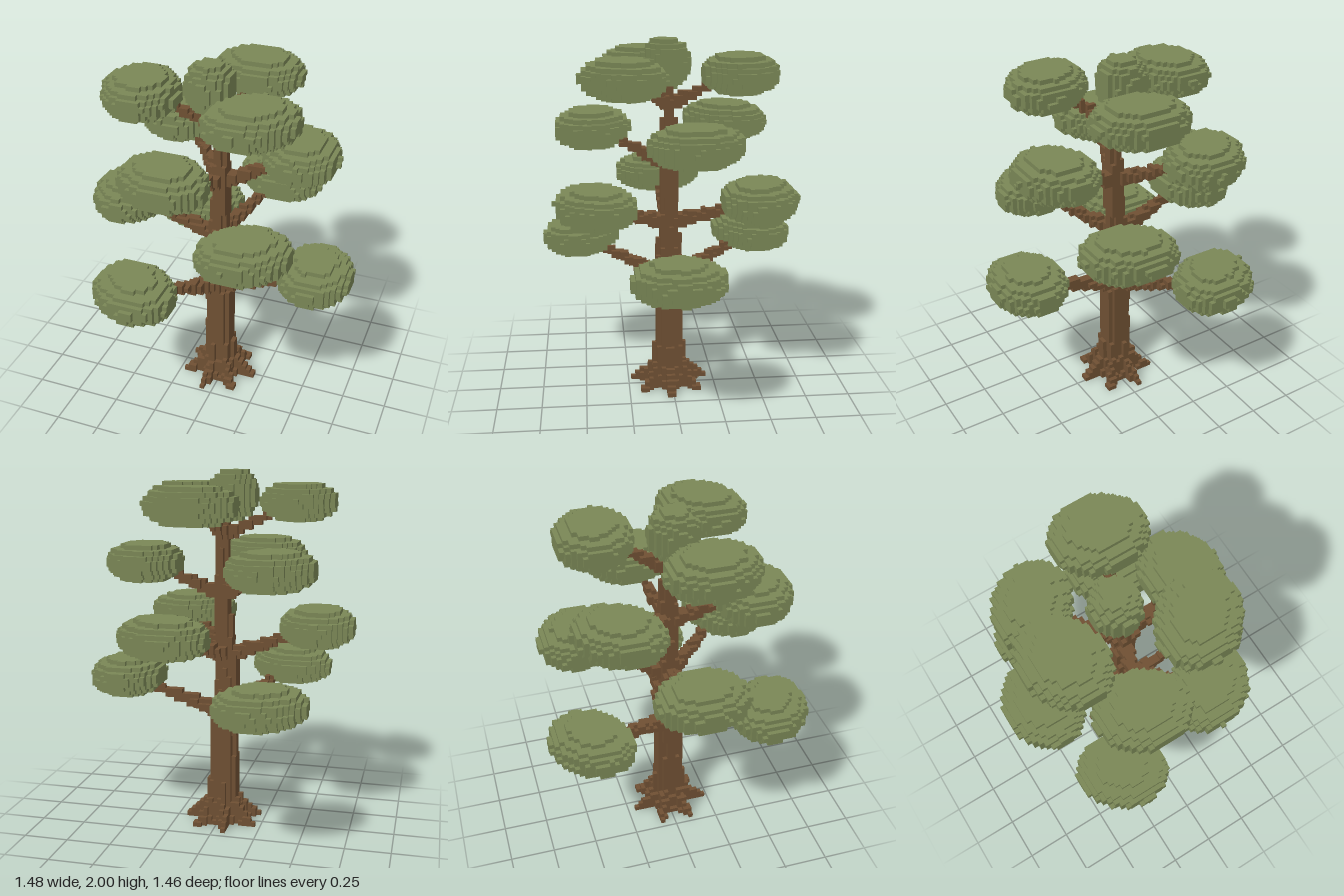
import * as THREE from 'three';

const S = 2 / 81; // block size
const bark = new THREE.MeshStandardMaterial({ color: 0x6f5033 });
bark.name = 'bark brown';
const leaf = new THREE.MeshStandardMaterial({ color: 0x7a8756 });
leaf.name = 'leaf green';

// Six cube faces: outward normal n, and edge axes u, v with u x v = n
const FACES = [0, 1, 2].flatMap((a) => [1, -1].map((s) => {
  const axis = (i, k) => [0, 1, 2].map((j) => (j === i % 3 ? k : 0));
  return s > 0
    ? { n: axis(a, 1), u: axis(a + 1, 1), v: axis(a + 2, 1) }
    : { n: axis(a, -1), u: axis(a + 2, 1), v: axis(a + 1, 1) };
}));

// Fill a box region with blocks wherever inside(x, y, z) holds; keep only outer faces
function blocks(name, material, min, max, inside) {
  const key = (c) => c.join();
  const cells = new Map();
  const lo = min.map((m) => Math.floor(m / S) - 1);
  const hi = max.map((m) => Math.ceil(m / S) + 1);
  for (let i = lo[0]; i <= hi[0]; i++)
    for (let j = Math.max(0, lo[1]); j <= Math.min(80, hi[1]); j++)
      for (let k = lo[2]; k <= hi[2]; k++)
        // the grid is shifted half a block in z
        if (inside((i + 0.5) * S, (j + 0.5) * S, k * S)) cells.set(key([i, j, k]), [i, j, k]);

  const position = [], normal = [], index = [];
  for (const c of cells.values()) {
    for (const { n, u, v } of FACES) {
      if (cells.has(key(c.map((q, a) => q + n[a])))) continue;
      const start = position.length / 3;
      for (const [p, q] of [[-1, -1], [1, -1], [1, 1], [-1, 1]]) {
        c.forEach((m, a) => position.push((m + (a < 2 ? 0.5 : 0) + (n[a] + u[a] * p + v[a] * q) / 2) * S));
        normal.push(...n);
      }
      index.push(start, start + 1, start + 2, start, start + 2, start + 3);
    }
  }
  const geometry = new THREE.BufferGeometry();
  geometry.setAttribute('position', new THREE.Float32BufferAttribute(position, 3));
  geometry.setAttribute('normal', new THREE.Float32BufferAttribute(normal, 3));
  geometry.setIndex(index);
  const mesh = new THREE.Mesh(geometry, material);
  mesh.name = name;
  return mesh;
}

// Trunk centre line and thickness: [y, x, radius]
const TRUNK = [[0, -0.02, 0.082], [0.5, -0.016, 0.078], [0.75, -0.04, 0.07], [0.98, -0.045, 0.058],
  [1.12, -0.018, 0.048], [1.4, -0.012, 0.046], [1.62, -0.02, 0.036], [1.85, -0.05, 0.025]];
const TRUNK_Z = 0.012;
function trunkAt(y) {
  const i = Math.max(1, TRUNK.findIndex((p) => p[0] >= y));
  const [a, b] = [TRUNK[i - 1], TRUNK[i]];
  const t = (y - a[0]) / (b[0] - a[0]);
  return { x: a[1] + (b[1] - a[1]) * t, r: a[2] + (b[2] - a[2]) * t };
}

// Tapered limb between two points
function limb(name, a, b, ra, rb) {
  const line = new THREE.Line3(a, b);
  const p = new THREE.Vector3(), q = new THREE.Vector3();
  const r = Math.max(ra, rb);
  const min = ['x', 'y', 'z'].map((k) => Math.min(a[k], b[k]) - r);
  const max = ['x', 'y', 'z'].map((k) => Math.max(a[k], b[k]) + r);
  return blocks(name, bark, min, max, (x, y, z) => {
    p.set(x, y, z);
    const t = line.closestPointToPointParameter(p, true);
    return line.at(t, q).distanceTo(p) < ra + (rb - ra) * t;
  });
}

// Flattened leaf pad, longer across its branch direction, with a slightly ragged rim
function leafPad(name, cx, cy, cz, radial, across, height) {
  const a = Math.atan2(cz, cx), c = Math.cos(a), s = Math.sin(a);
  return blocks(name, leaf, [cx - 0.3, cy - 0.2, cz - 0.3], [cx + 0.3, cy + 0.2, cz + 0.3], (x, y, z) => {
    const dx = x - cx, dz = z - cz;
    const flat = Math.hypot((dx * c + dz * s) / radial, (dz * c - dx * s) / across);
    const ragged = 0.04 * Math.sin(x * 61 + y * 47) * Math.sin(z * 53 + y * 71);
    return flat ** 2.3 + Math.abs((y - cy) / height) ** 2.3 < 1 + ragged;
  });
}

// Tiers of three: pad height, branch root height, pad centres [x, z]
const TIERS = [
  { y: 0.835, root: 0.64, pads: [[0.54, 0.01], [-0.33, 0.505], [-0.33, -0.505]] },
  { y: 1.16, root: 0.98, pads: [[-0.54, 0.04], [0.26, 0.425], [0.19, -0.46]] },
  { y: 1.505, root: 1.32, pads: [[0.4, -0.09], [-0.17, 0.43], [-0.35, -0.34]] },
  { y: 1.828, root: 1.65, pads: [[-0.41, 0.12], [0.24, 0.27], [0.07, -0.36]] },
];

export function createModel() {
  const tree = new THREE.Group();
  tree.name = 'tree';

  // Trunk with a star of roots flaring at the ground
  tree.add(blocks('trunk', bark, [-0.3, 0, -0.3], [0.3, 1.85, 0.3], (x, y, z) => {
    if (y > 1.84) return false;
    const t = trunkAt(y), dx = x - t.x, dz = z - TRUNK_Z;
    const flare = Math.max(0, 1 - y / 0.17) ** 1.3;
    const ridge = Math.max(0, Math.cos(7 * Math.atan2(dz, dx)));
    const buttress = y < 0.25 ? 0.012 * ridge : 0;
    return Math.hypot(dx, dz) < t.r + buttress + flare * (0.045 + 0.09 * ridge);
  }));

  // Branches and leaf pads
  TIERS.forEach(({ y, root, pads }, tier) => {
    pads.forEach(([x, z], i) => {
      const start = new THREE.Vector3(trunkAt(root).x, root, TRUNK_Z);
      const reach = 1 - 0.12 / Math.hypot(x, z);
      const end = new THREE.Vector3(x * reach, y - 0.05, z * reach);
      const thick = 0.048 - tier * 0.003;
      tree.add(limb(`branch${tier + 1}_${i + 1}`, start, end, thick, 0.02));
      tree.add(leafPad(`leafPad${tier + 1}_${i + 1}`, x, y, z, 0.203, 0.25, 0.104));
    });
  });

  // Crown tuft at the very top
  tree.add(leafPad('crown', -0.07, 1.868, 0.025, 0.13, 0.13, 0.135));
  return tree;
}
